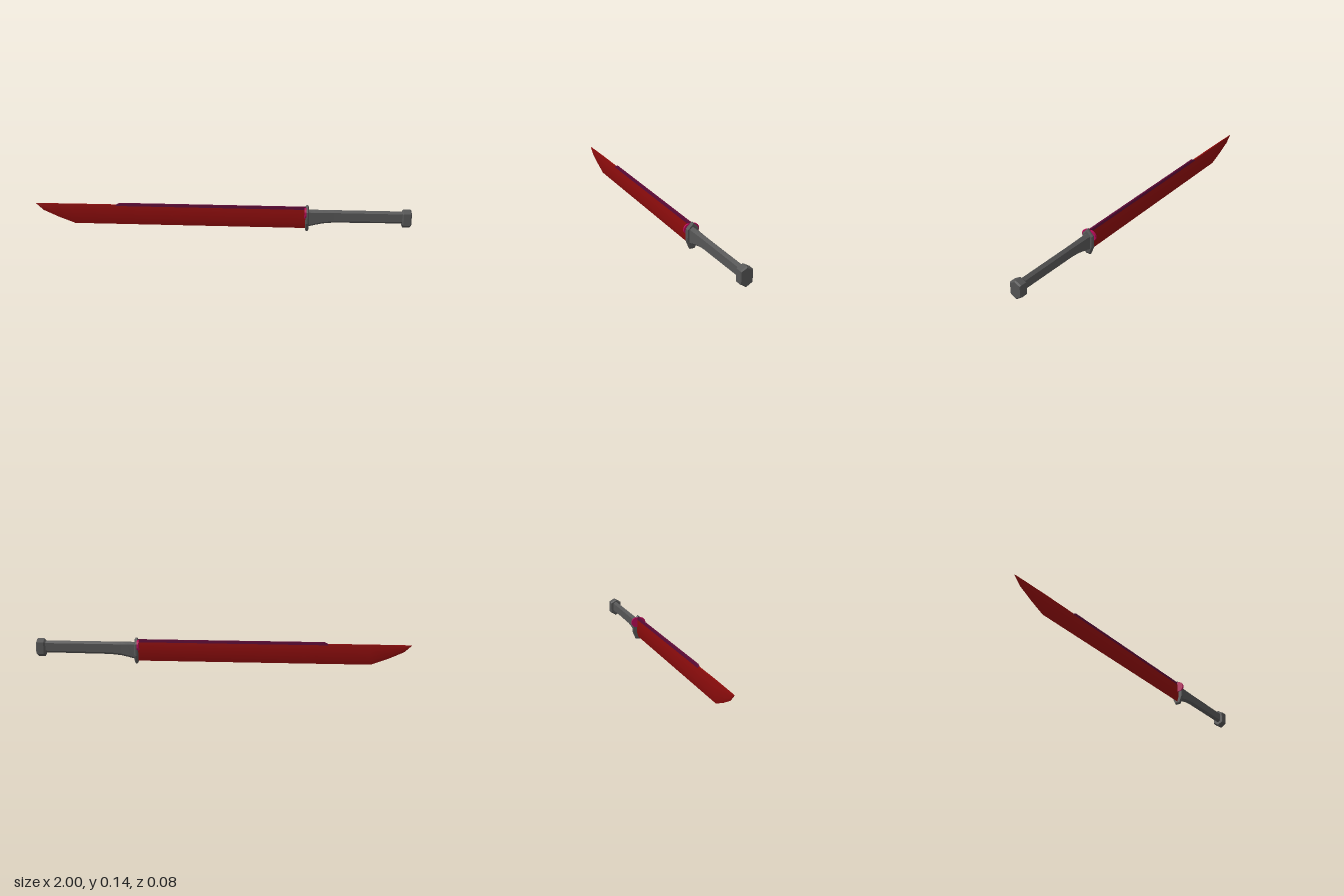
import * as THREE from 'three';
import { toCreasedNormals } from 'three/addons/utils/BufferGeometryUtils.js';

// Skin a row of closed [y, z] rings along x, with both ends capped.
function loft(sections) {
  const pos = [], index = [], n = sections[0].ring.length;
  for (const { x, ring } of sections) for (const [y, z] of ring) pos.push(x, y, z);
  for (let s = 0; s < sections.length - 1; s++) {
    for (let i = 0; i < n; i++) {
      const j = (i + 1) % n, a = s * n, b = a + n;
      index.push(a + i, a + j, b + j, a + i, b + j, b + i);
    }
  }
  const last = (sections.length - 1) * n;
  for (let i = 1; i < n - 1; i++) {
    index.push(0, i + 1, i, last, last + i, last + i + 1);
  }
  const g = new THREE.BufferGeometry();
  g.setAttribute('position', new THREE.Float32BufferAttribute(pos, 3));
  g.setIndex(index);
  return g;
}

// Upright hexagon with points at the top and bottom.
function hexRing(bottom, top, w, low, high) {
  return [[bottom, 0], [low, -w], [high, -w], [top, 0], [high, w], [low, w]];
}

// Blade section: sharp edge below, flat spine above.
function bladeRing(bottom, top, w) {
  const h = top - bottom;
  return [[0, 0], [0.25, -1], [0.75, -1], [1, -0.6], [1, 0.6], [0.75, 1], [0.25, 1]]
    .map(([y, z]) => [bottom + y * h, z * w]);
}

// Guard plate outline, scaled about its middle.
function guardRing(s) {
  return [[0, -0.014], [0.045, -0.033], [0.108, -0.032], [0.141, 0],
    [0.108, 0.032], [0.045, 0.033], [0, 0.014]]
    .map(([y, z]) => [0.07 + (y - 0.07) * s, z * s]);
}

export function createModel() {
  const model = new THREE.Group();
  const red = new THREE.MeshStandardMaterial({ color: 0x8c0c0c });
  const magenta = new THREE.MeshStandardMaterial({ color: 0xb80a58 });
  const purple = new THREE.MeshStandardMaterial({ color: 0x5c0a36 });
  const grey = new THREE.MeshStandardMaterial({ color: 0x555555, flatShading: true });

  function add(name, geometry, material) {
    const mesh = new THREE.Mesh(geometry, material);
    mesh.name = name;
    model.add(mesh);
    return mesh;
  }

  // Blade with its slanted tip
  const blade = [[-1, 0.119, 0.121, 0.0008], [-0.96, 0.083, 0.121, 0.003],
    [-0.88, 0.047, 0.121, 0.005], [-0.79, 0.013, 0.121, 0.008], [0.453, 0.013, 0.121, 0.008]];
  add('blade', toCreasedNormals(loft(blade.map(([x, bottom, top, w]) =>
    ({ x, ring: bladeRing(bottom, top, w) }))), 0.9), red);

  // Raised spine that stops short of the tip
  const spineRing = (top) => [[0.115, -0.006], [top, -0.005], [top, 0.005], [0.115, 0.006]];
  add('spine', toCreasedNormals(loft([[-0.565, 0.12], [-0.545, 0.13], [0.453, 0.13]]
    .map(([x, top]) => ({ x, ring: spineRing(top) }))), 0.5), purple);

  // Round lobes of the collar, one on each side of the blade
  for (const side of [-1, 1]) {
    const lobe = add(side > 0 ? 'collarFront' : 'collarBack',
      toCreasedNormals(new THREE.CylinderGeometry(0.028, 0.028, 0.01, 24), 0.6), magenta);
    lobe.rotation.z = Math.PI / 2;
    lobe.position.set(0.447, 0.1, side * 0.013);
  }

  // Guard plate with bevelled faces
  add('guard', loft([[0.448, 0.9], [0.453, 1], [0.46, 1], [0.467, 0.84]]
    .map(([x, s]) => ({ x, ring: guardRing(s) }))), grey);

  // Grip, sweeping down towards the guard
  const grip = [[0.46, 0.022, 0.018], [0.5, 0.032, 0.017], [0.54, 0.041, 0.016],
    [0.6, 0.047, 0.015], [0.96, 0.05, 0.015]];
  add('grip', loft(grip.map(([x, bottom, w]) =>
    ({ x, ring: hexRing(bottom, 0.116, w, bottom + 0.012, 0.104) }))), grey);

  // Six-sided pommel with chamfered ends
  const pommel = [[0.953, 0.86], [0.959, 1], [0.994, 1], [1, 0.88]];
  add('pommel', loft(pommel.map(([x, s]) =>
    ({ x, ring: hexRing(0.078 - 0.05 * s, 0.078 + 0.05 * s, 0.032 * s,
      0.078 - 0.03 * s, 0.078 + 0.032 * s) }))), grey);

  return model;
}
